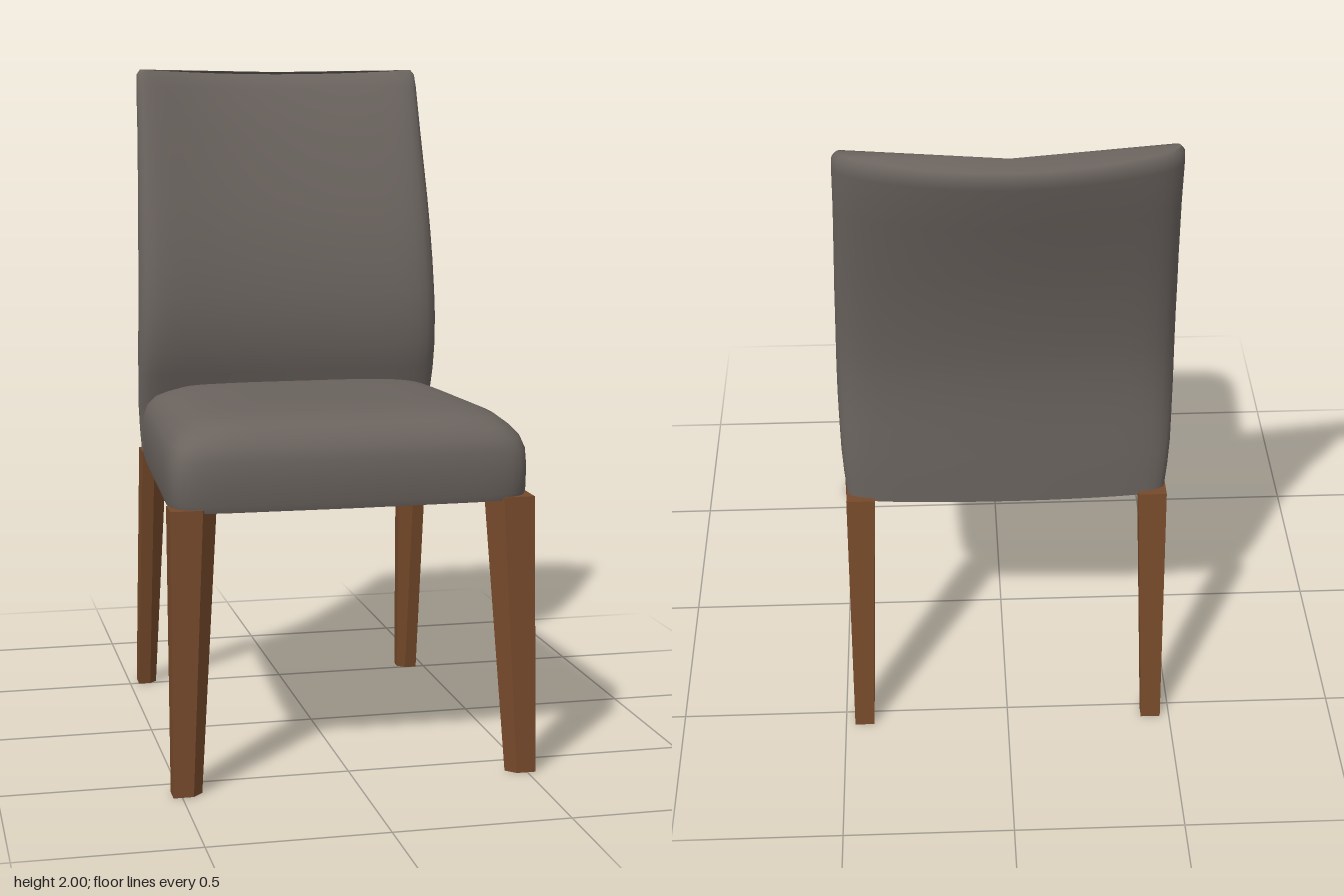
import * as THREE from 'three';
import { toCreasedNormals } from 'three/addons/utils/BufferGeometryUtils.js';

// Skin a stack of closed rings (bottom to top, each running from +x towards +z) and cap both ends.
function loft(rings, crease) {
  const n = rings[0].length, pos = [], idx = [];
  for (const ring of rings) for (const p of ring) pos.push(...p);
  for (let i = 0; i < rings.length - 1; i++) {
    for (let j = 0; j < n; j++) {
      const k = (j + 1) % n;
      const a = i * n + j, b = i * n + k, c = a + n, d = b + n;
      idx.push(a, c, b, b, c, d);
    }
  }
  const cap = (ring, start, up) => {
    const centre = pos.length / 3;
    for (let e = 0; e < 3; e++) pos.push(ring.reduce((s, p) => s + p[e], 0) / n);
    for (let j = 0; j < n; j++) {
      const a = start + j, b = start + (j + 1) % n;
      idx.push(centre, ...(up ? [b, a] : [a, b]));
    }
  };
  cap(rings[0], 0, false);
  cap(rings[rings.length - 1], (rings.length - 1) * n, true);
  const g = new THREE.BufferGeometry();
  g.setAttribute('position', new THREE.Float32BufferAttribute(pos, 3));
  g.setIndex(idx);
  return toCreasedNormals(g, crease);
}

// Cushion: tapered rounded plan, rings shrinking into a soft dome.
function seatGeometry() {
  // height, scale, squareness
  const rows = [
    [0.79, 0.985, 12], [0.81, 0.997, 12], [0.88, 1, 12], [0.93, 0.997, 11], [0.965, 0.975, 10],
    [0.99, 0.935, 9], [1.012, 0.88, 7], [1.028, 0.8, 6], [1.037, 0.68, 5], [1.041, 0.45, 4], [1.041, 0.2, 3],
  ];
  const power = (v, n) => Math.sign(v) * Math.abs(v) ** (2 / n);
  return loft(rows.map(([y, s, n]) => {
    const ring = [];
    for (let j = 0; j < 80; j++) {
      const t = (j / 80) * Math.PI * 2;
      const u = s * power(Math.cos(t), n), v = s * power(Math.sin(t), n);
      const z = 0.105 + 0.483 * v + 0.012 * Math.max(v, 0) * (1 - u * u);
      // the front of the crown sits a touch higher than the back
      ring.push([u * (0.4945 + 0.051 * z), y + (y > 1 ? 0.006 * v : 0), z]);
    }
    return ring;
  }), 0.7);
}

// Backrest: S-curved side profile, bowed backwards across its width.
function backrestGeometry() {
  // height, half width, front z, rear z, bow
  const rows = [
    [0.79, 0.465, -0.36, -0.43, 0.02], [0.87, 0.472, -0.352, -0.428, 0.02],
    [0.95, 0.477, -0.335, -0.425, 0.02], [1.05, 0.48, -0.293, -0.415, 0.025],
    [1.13, 0.481, -0.273, -0.411, 0.028], [1.22, 0.48, -0.265, -0.41, 0.03],
    [1.3, 0.478, -0.269, -0.417, 0.032], [1.4, 0.475, -0.282, -0.43, 0.035],
    [1.5, 0.472, -0.304, -0.447, 0.04], [1.6, 0.468, -0.33, -0.465, 0.045],
    [1.8, 0.46, -0.395, -0.51, 0.06], [1.95, 0.456, -0.45, -0.541, 0.075],
    [1.985, 0.453, -0.468, -0.543, 0.08], [2.0, 0.442, -0.485, -0.533, 0.08],
  ];
  const steps = 24;
  return loft(rows.map(([y, w, zf, zr, bow]) => {
    const ring = [], mid = (zf + zr) / 2, half = (zf - zr) / 2;
    const sag = 0.014 * Math.max(0, (y - 1.6) / 0.4);
    for (const side of [1, -1]) {
      for (let j = 0; j < steps; j++) {
        const u = side * Math.sin((Math.PI / 2) * (1 - (2 * j) / steps));
        const v = side * Math.max(0, 1 - Math.abs(u) ** 12) ** 0.4;
        const curve = 1 - u * u;
        ring.push([u * w, y - sag * curve, mid + half * v - bow * curve]);
      }
    }
    return ring;
  }), 0.9);
}

// Tapered leg between two plan sections; side is +1 or -1.
function legGeometry(bottom, top, side) {
  const ring = (pts, y) => {
    const r = pts.map(([x, z]) => [x * side, y, z]);
    return side < 0 ? r.reverse() : r;
  };
  return loft([ring(bottom, 0), ring(top, 0.8)], 0.4);
}

export function createModel() {
  const model = new THREE.Group();
  model.name = 'diningChair';
  const upholstery = new THREE.MeshStandardMaterial({ color: 0x6a635e });
  upholstery.name = 'greyUpholstery';
  const wood = new THREE.MeshStandardMaterial({ color: 0x75492a });
  wood.name = 'brownWood';

  const add = (name, geometry, material) => {
    const mesh = new THREE.Mesh(geometry, material);
    mesh.name = name;
    model.add(mesh);
  };

  add('seat', seatGeometry(), upholstery);
  add('backrest', backrestGeometry(), upholstery);

  // Leg sections with the inner corner chamfered
  const front = {
    bottom: [[0.525, 0.565], [0.525, 0.62], [0.468, 0.62], [0.44, 0.592], [0.465, 0.565]],
    top: [[0.52, 0.5], [0.52, 0.585], [0.43, 0.585], [0.385, 0.54], [0.425, 0.5]],
  };
  const rear = {
    bottom: [[0.472, -0.555], [0.472, -0.495], [0.435, -0.495], [0.413, -0.517], [0.413, -0.555]],
    top: [[0.468, -0.448], [0.468, -0.363], [0.43, -0.363], [0.385, -0.405], [0.385, -0.448]],
  };
  for (const [side, label] of [[1, 'Left'], [-1, 'Right']]) {
    add('frontLeg' + label, legGeometry(front.bottom, front.top, side), wood);
    add('rearLeg' + label, legGeometry(rear.bottom, rear.top, side), wood);
  }
  return model;
}
